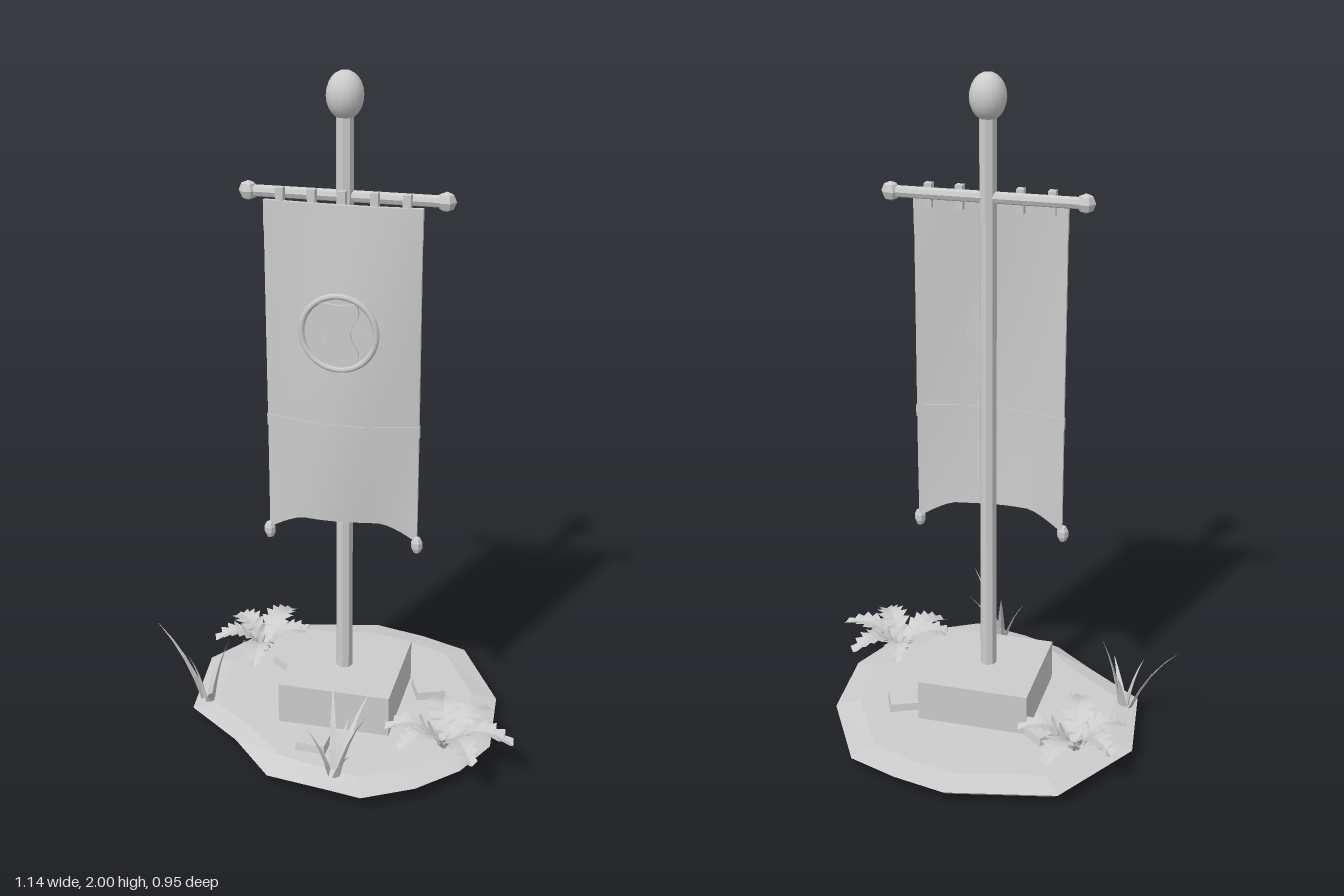
import * as THREE from 'three';

const grey = new THREE.MeshStandardMaterial({ color: 0xcccccc, side: THREE.DoubleSide });
grey.name = 'plain grey';

const V = (x, y, z) => new THREE.Vector3(x, y, z);

function flat(geometry) {
  const g = geometry.index ? geometry.toNonIndexed() : geometry;
  g.computeVertexNormals();
  return g;
}

// Faceted skin between cross-sections of equal length
function loft(sections, closed) {
  const n = sections[0].length, pos = [], idx = [];
  sections.forEach((s) => s.forEach((p) => pos.push(p.x, p.y, p.z)));
  for (let i = 0; i < sections.length - 1; i++) {
    for (let j = 0; j < (closed ? n : n - 1); j++) {
      const k = (j + 1) % n, a = i * n + j, b = i * n + k;
      idx.push(a, b + n, a + n, a, b, b + n);
    }
  }
  const g = new THREE.BufferGeometry();
  g.setAttribute('position', new THREE.Float32BufferAttribute(pos, 3));
  g.setIndex(idx);
  return flat(g);
}

// Hanging cloth: depth and lower edge as functions of position
const clothX = 0.0125, clothHalf = 0.222;
function clothDepth(x, y) {
  const u = (x - clothX) / clothHalf, v = (1.65 - y) / 1;
  return 0.05 + (0.012 + 0.02 * Math.sin(Math.PI * Math.min(1, Math.max(0, v)))) * (1 - u * u)
    + 0.009 * v * Math.sin(3.2 * u + 2.5 * v);
}
function clothHem(x) {
  const s = Math.max(0, (Math.abs(x - clothX) / clothHalf - 0.5) / 0.5);
  return 0.705 - 0.055 * Math.pow(s, 1.4);
}
function clothSlab(top, bottom, half, thick) {
  const g = new THREE.BoxGeometry(2, 1, thick, 20, 20, 1);
  const p = g.attributes.position;
  for (let i = 0; i < p.count; i++) {
    const x = clothX + p.getX(i) * half, t = p.getY(i) + 0.5;
    const low = bottom(x), y = low + (top - low) * t;
    p.setXYZ(i, x, y, clothDepth(x, y) + p.getZ(i));
  }
  g.computeVertexNormals();
  return g;
}

// Saw-edged arching leaf from a centre to a tip
function frond(center, tip) {
  const dir = tip.clone().sub(center).setY(0), len = dir.length();
  dir.normalize();
  const side = V(-dir.z, 0, dir.x), rows = [], steps = 14;
  for (let i = 0; i <= steps; i++) {
    const t = i / steps;
    const mid = center.clone().addScaledVector(dir, len * t);
    mid.y = 0.06 + 0.088 * Math.sin(Math.PI * 0.75 * Math.pow(t, 0.8));
    const w = i === steps ? 0.001
      : (0.012 + 0.036 * Math.sin(Math.PI * Math.pow(t, 0.8))) * (i % 2 ? 1.1 : 0.66);
    const edge = (s) => mid.clone().addScaledVector(side, s * w).addScaledVector(dir, i % 2 ? 0.01 : 0).setY(mid.y + w * 0.2);
    rows.push([edge(-1), mid, edge(1)]);
  }
  return loft(rows, false);
}

// Three-sided tapering grass blade
function blade(root, tip, width) {
  const bend = root.clone().lerp(tip, 0.35).setY(root.y + (tip.y - root.y) * 0.62);
  const curve = new THREE.QuadraticBezierCurve3(root, bend, tip);
  const out = tip.clone().sub(root).setY(0).normalize(), side = V(-out.z, 0, out.x);
  const rows = [];
  for (let i = 0; i <= 4; i++) {
    const c = curve.getPoint(i / 4), w = width * (1 - i / 4) + 0.0005;
    rows.push([c.clone().addScaledVector(side, w), c.clone().addScaledVector(out, w * 0.6), c.clone().addScaledVector(side, -w)]);
  }
  return loft(rows, true);
}

export function createModel() {
  const root = new THREE.Group();
  root.name = 'bannerOnPole';
  const add = (name, geometry, x = 0, y = 0, z = 0, parent = root) => {
    const m = new THREE.Mesh(geometry, grey);
    m.name = name;
    m.position.set(x, y, z);
    parent.add(m);
    return m;
  };

  // Irregular patch of ground
  const rim = [
    [0.01, -0.48, 0.045], [0.17, -0.445, 0.045], [0.32, -0.39, 0.045], [0.465, -0.13, 0.04],
    [0.485, 0.13, 0.04], [0.42, 0.28, 0.045], [0.31, 0.395, 0.045], [0.17, 0.475, 0.045],
    [0, 0.445, 0.04], [-0.125, 0.415, 0.03], [-0.26, 0.285, 0.045], [-0.44, 0.15, 0.045],
    [-0.475, -0.14, 0.048], [-0.31, -0.41, 0.045]];
  const ring = (s, y) => rim.map(([x, z, h]) => V(x * s, y === undefined ? h : y, z * s));
  add('ground', loft([ring(0, 0.064), ring(0.84, 0.06), ring(1), ring(0.93, 0.018), ring(0, 0)], true));

  // Plinth, pole and finial
  add('plinth', new THREE.BoxGeometry(0.34, 0.145, 0.34), 0.015, 0.1175, 0.01);
  add('pole', flat(new THREE.CylinderGeometry(0.025, 0.025, 1.7, 8)), 0.01, 1.04, 0.015);
  add('finial', new THREE.SphereGeometry(1, 16, 12), 0.01, 1.934, 0.015).scale.set(0.052, 0.066, 0.052);

  // Crossbar with end knobs
  add('crossbar', flat(new THREE.CylinderGeometry(0.017, 0.017, 0.55, 8)), 0.0125, 1.66, 0.012)
    .rotation.z = Math.PI / 2;
  for (const x of [-0.265, 0.29]) {
    add('crossbarKnob', flat(new THREE.SphereGeometry(0.028, 6, 4)), x, 1.66, 0.012);
  }

  // Cloth, stitched bands, hanging tabs and corner weights
  add('cloth', clothSlab(1.647, clothHem, clothHalf, 0.012));
  add('lowerBand', clothSlab(1.015, () => 0.98, clothHalf + 0.002, 0.017));
  add('upperBand', clothSlab(1.647, () => 1.56, clothHalf + 0.001, 0.015));
  for (const x of [-0.165, -0.075, 0.01, 0.1, 0.19]) {
    add('hangingTab', new THREE.BoxGeometry(0.022, 0.07, 0.026), x, 1.647, 0.045);
  }
  for (const x of [-0.21, 0.235]) {
    add('cornerWeight', flat(new THREE.SphereGeometry(1, 6, 5)), x, 0.643, 0.05).scale.set(0.018, 0.028, 0.018);
  }

  // Round badge with a waisted plate
  const badge = new THREE.Group();
  badge.name = 'badge';
  badge.position.set(0.01, 1.29, 0.086);
  root.add(badge);
  add('badgeRing', new THREE.TorusGeometry(0.107, 0.009, 8, 40), 0, 0, 0.003, badge);
  add('badgeDisc', new THREE.CylinderGeometry(0.105, 0.105, 0.012, 40), 0, 0, -0.006, badge).rotation.x = Math.PI / 2;
  const waist = new THREE.Shape();
  waist.moveTo(-0.05, 0.09);
  waist.quadraticCurveTo(0, 0.075, 0.05, 0.09);
  waist.bezierCurveTo(0.075, 0.05, 0.035, 0.03, 0.035, 0);
  waist.bezierCurveTo(0.035, -0.03, 0.075, -0.05, 0.05, -0.085);
  waist.quadraticCurveTo(0, -0.1, -0.05, -0.085);
  waist.bezierCurveTo(-0.075, -0.05, -0.035, -0.03, -0.035, 0);
  waist.bezierCurveTo(-0.035, 0.03, -0.075, 0.05, -0.05, 0.09);
  add('badgePlate', new THREE.ExtrudeGeometry(waist, { depth: 0.008, bevelEnabled: false }), 0, 0, 0, badge);

  // Flat square stones
  for (const [x, z, turn] of [[-0.2, -0.145, -0.65], [0.255, -0.09, 0.4], [-0.02, 0.27, -0.05]]) {
    const slab = new THREE.CylinderGeometry(0.06, 0.066, 0.03, 4).rotateY(Math.PI / 4);
    add('stone', flat(slab), x, 0.07, z).rotation.y = turn;
  }

  // Ferns
  const ferns = [
    [[-0.315, -0.2], [[-0.265, -0.385], [-0.145, -0.23], [-0.29, 0], [-0.455, -0.13], [-0.44, -0.295]]],
    [[0.36, 0.2], [[0.32, 0.03], [0.475, 0.06], [0.565, 0.23], [0.465, 0.36], [0.25, 0.335], [0.185, 0.235]]]];
  for (const [[cx, cz], tips] of ferns) {
    const fern = new THREE.Group();
    fern.name = 'fern';
    root.add(fern);
    for (const [x, z] of tips) add('frond', frond(V(cx, 0, cz), V(x, 0, z)), 0, 0, 0, fern);
  }

  // Grass tufts
  const tufts = [
    [[-0.405, 0.095], [[-0.575, 0.28, 0.065], [-0.335, 0.27, 0.09], [-0.35, 0.15, 0.215], [-0.39, 0.18, 0.045], [-0.46, 0.21, 0.12]]],
    [[0.07, 0.395], [[0.035, 0.27, 0.26], [0.145, 0.26, 0.275], [0.17, 0.28, 0.43], [-0.01, 0.19, 0.39], [0.1, 0.21, 0.335], [0.125, 0.15, 0.435]]]];
  for (const [[cx, cz], tips] of tufts) {
    const tuft = new THREE.Group();
    tuft.name = 'grassTuft';
    root.add(tuft);
    for (const [x, y, z] of tips) {
      add('blade', blade(V(cx + (x - cx) * 0.1, 0.045, cz + (z - cz) * 0.1), V(x, y, z), 0.015), 0, 0, 0, tuft);
    }
  }
  return root;
}
